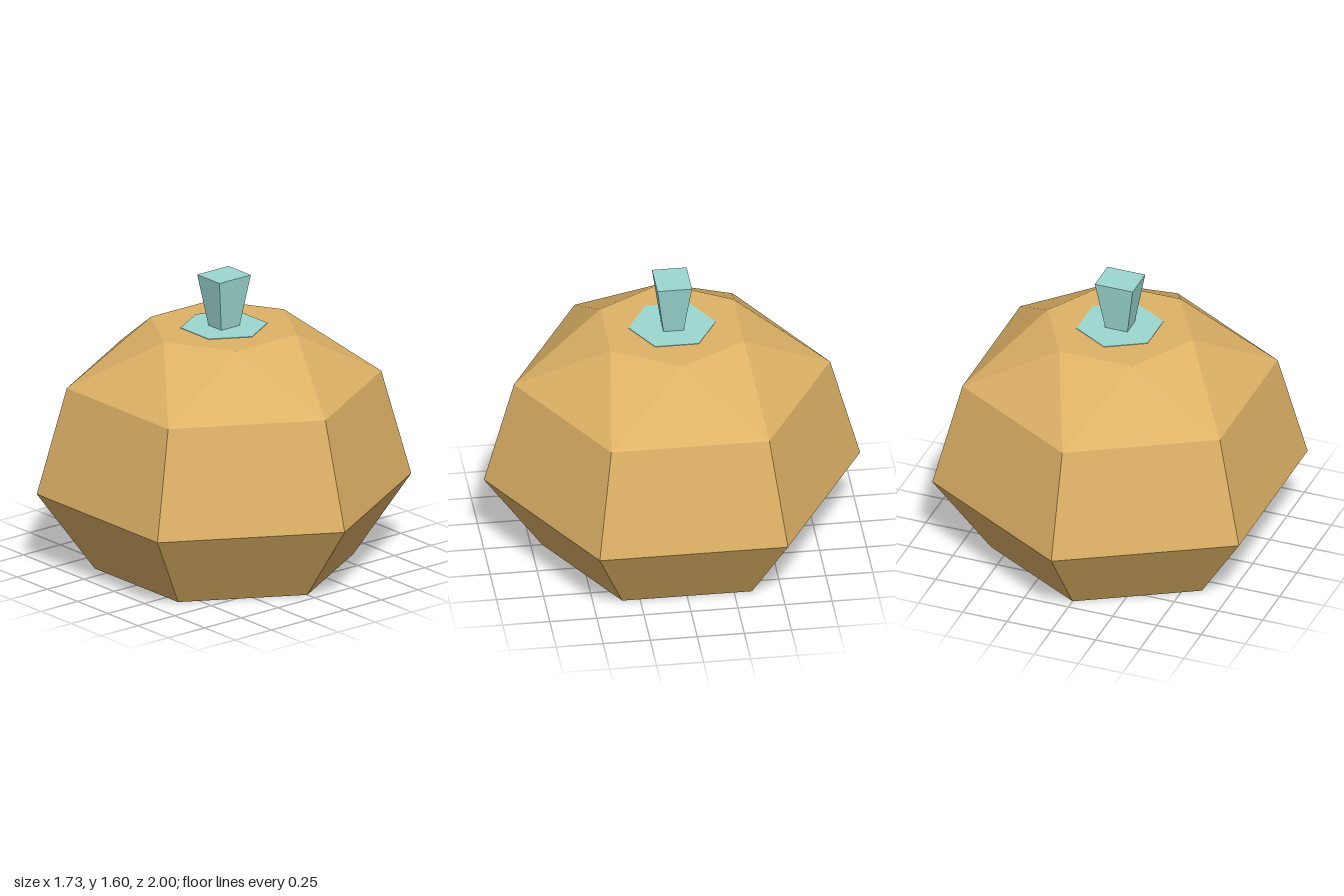
import * as THREE from 'three';
import { ConvexGeometry } from 'three/addons/geometries/ConvexGeometry.js';

const SIDES = 6;
const TOP = 1.315;

// One hexagonal ring of points; twist turns it by a fraction of a side
function ring(radius, y, twist = 0) {
  return Array.from({ length: SIDES }, (_, i) => {
    const a = ((i + twist) / SIDES) * Math.PI * 2;
    return new THREE.Vector3(Math.sin(a) * radius, y, Math.cos(a) * radius);
  });
}

export function createModel() {
  const tan = new THREE.MeshStandardMaterial({ color: 0xdeb266, flatShading: true });
  tan.name = 'tan rind';
  const teal = new THREE.MeshStandardMaterial({ color: 0x9cd8d1, flatShading: true });
  teal.name = 'pale teal stem';

  const model = new THREE.Group();
  model.name = 'gourd';
  const add = (name, geometry, material) => {
    const mesh = new THREE.Mesh(geometry, material);
    mesh.name = name;
    model.add(mesh);
    return mesh;
  };

  // Faceted body: three aligned rings and a crown turned by half a side
  add('body', new ConvexGeometry([
    ...ring(0.69, 0),
    ...ring(1, 0.433),
    ...ring(0.84, 1.015),
    ...ring(0.41, TOP, 0.5),
  ]), tan);

  // Flat hexagonal patch around the stem
  const patch = add('stemPatch', new THREE.CylinderGeometry(0.232, 0.232, 0.006, SIDES), teal);
  patch.position.y = TOP;

  // Square stem, flaring toward the top
  const height = 1.6 - TOP;
  const stemGeometry = new THREE.BoxGeometry(0.214, height, 0.184);
  const p = stemGeometry.attributes.position;
  for (let i = 0; i < p.count; i++) {
    if (p.getY(i) < 0) {
      p.setX(i, p.getX(i) * 0.58);
      p.setZ(i, p.getZ(i) * 0.58);
    }
  }
  stemGeometry.computeVertexNormals();
  const stem = add('stem', stemGeometry, teal);
  stem.position.y = TOP + height / 2;

  return model;
}
